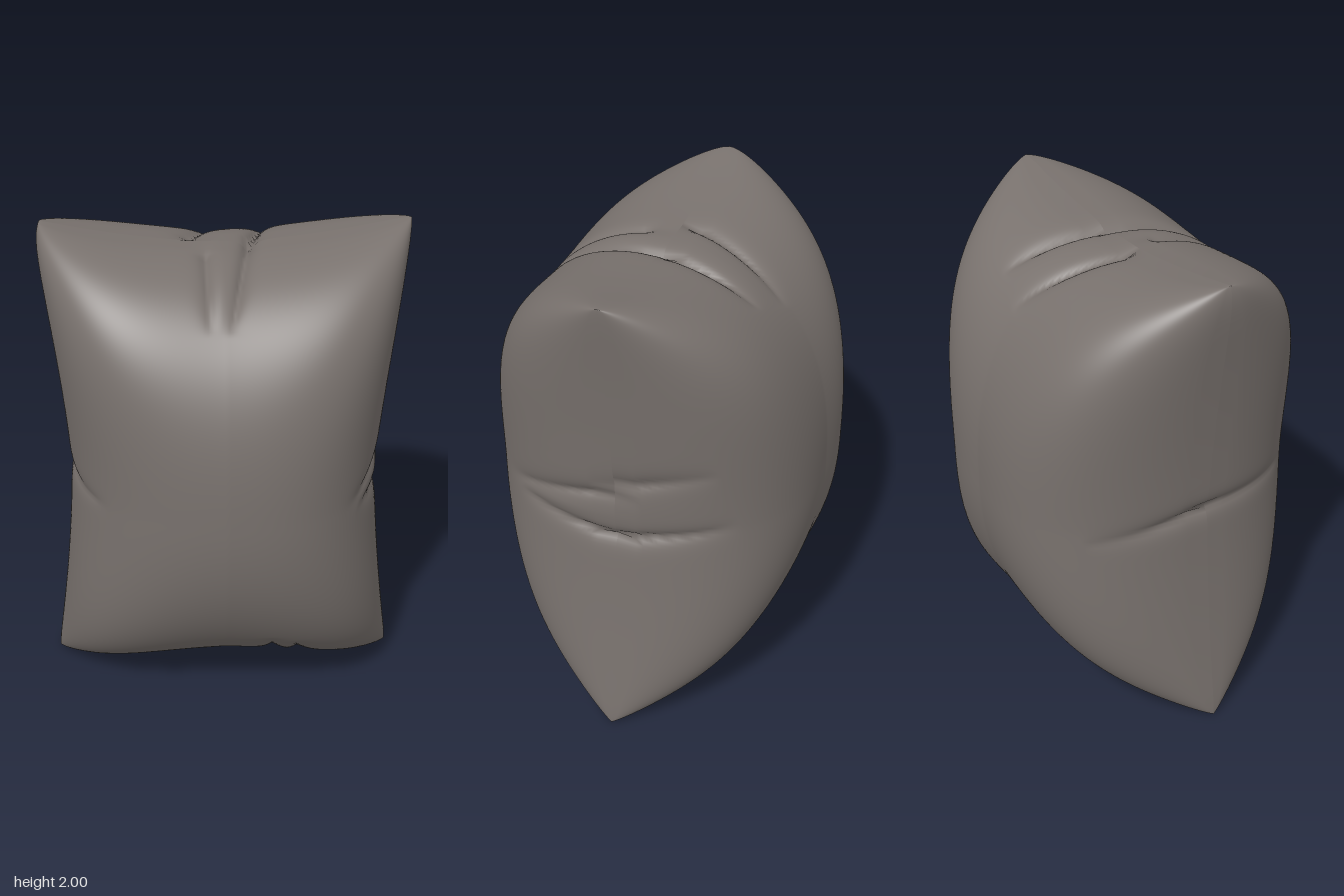
import * as THREE from 'three';

const N = 180;

// Creases: start, end, width, depth
const creases = [
  // top
  [[0.1, 1.9, 0], [0.02, 1.74, 0.48], 0.025, 0.06],
  [[0.1, 1.9, 0], [0.19, 1.8, -0.42], 0.025, 0.06],
  [[-0.07, 1.88, 0.12], [-0.06, 1.74, 0.48], 0.022, 0.035],
  [[-0.13, 1.88, -0.08], [0.02, 1.74, -0.48], 0.03, 0.045],
  // left side
  [[0.63, 0.92, 0], [0.55, 0.98, 0.48], 0.028, 0.04],
  [[0.63, 0.92, 0], [0.55, 1.02, -0.48], 0.028, 0.04],
  [[0.63, 1.13, 0.02], [0.52, 1.01, 0.55], 0.028, 0.035],
  [[0.63, 1.18, -0.02], [0.57, 1.28, -0.4], 0.028, 0.035],
  // right side
  [[-0.63, 1.01, 0], [-0.5, 1.0, 0.5], 0.025, 0.03],
  [[-0.63, 1.01, 0], [-0.52, 0.95, -0.5], 0.025, 0.035],
  // bottom
  [[0, 0.1, 0], [0.02, 0.22, 0.38], 0.025, 0.045],
  [[0, 0.1, 0], [-0.06, 0.3, -0.5], 0.03, 0.045],
  [[0.2, 0.1, 0.08], [0.19, 0.35, 0.5], 0.028, 0.045],
  [[0.33, 0.1, 0.08], [0.28, 0.32, 0.48], 0.028, 0.045],
].map(([a, b, width, depth]) => ({
  line: new THREE.Line3(new THREE.Vector3(...a), new THREE.Vector3(...b)), width, depth,
}));

const falloff = (t, p, q) => Math.pow(Math.max(0, 1 - Math.pow(Math.abs(t), p)), q);

// A point on the inflated cushion; side is +1 for the front panel, -1 for the back
function cushionPoint(u, v, side) {
  // Concave outline with blunt, slightly uneven corners
  const corner = Math.pow(Math.abs(u * v), 16);
  const blunt = 1 - 0.012 * corner;
  const lean = u < 0 && v > 0 ? 0.025 * corner : 0;
  const x = u * (0.63 + 0.11 * Math.pow(Math.abs(v), 1.5)) * blunt + lean;
  const y = 1 + v * (0.91 + 0.1 * Math.pow(Math.abs(u), 1.8)) * blunt;

  // Loft: full towards the corners, and leaning backwards along the right side
  const vertical = v > 0 ? falloff(v, 2.5, 0.44) : falloff(v, 2.2, 0.54);
  const w = u * u * v * v;
  const fullness = 1 + 0.55 * w * (1 - w);
  const skew = 1 + side * 0.1 * Math.min(u, 0) * (1 - v * v);
  const z = side * 0.665 * falloff(u, 2.6, 0.43) * vertical * fullness * skew;
  const p = new THREE.Vector3(x, y, z);

  // Pinch the skin inwards along the nearest crease
  const inward = new THREE.Vector3(-x, 1 - y, -z).normalize();
  const near = new THREE.Vector3();
  let push = 0;
  for (const { line, width, depth } of creases) {
    const t = line.closestPointToPointParameter(p, true);
    line.at(t, near).sub(p);
    if (near.length() > 0.2) continue;
    const d = near.projectOnPlane(inward).length() / width;
    push = Math.max(push, depth * (1 - t * t) * Math.exp(-d));
  }
  return p.addScaledVector(inward, push);
}

function panelGeometry(side) {
  const positions = [], index = [];
  // Grid spacing, finer towards the seam
  const spread = (i) => 0.75 * Math.sin((i / N - 0.5) * Math.PI) + 0.25 * (2 * i / N - 1);
  for (let j = 0; j <= N; j++) {
    for (let i = 0; i <= N; i++) {
      const p = cushionPoint(spread(i), spread(j), side);
      positions.push(p.x, p.y, p.z);
      if (i === N || j === N) continue;
      const a = j * (N + 1) + i, b = a + 1, c = a + N + 1, d = c + 1;
      if (side > 0) index.push(a, b, d, a, d, c);
      else index.push(a, d, b, a, c, d);
    }
  }
  const geometry = new THREE.BufferGeometry();
  geometry.setAttribute('position', new THREE.Float32BufferAttribute(positions, 3));
  geometry.setIndex(index);
  geometry.computeVertexNormals();
  return geometry;
}

export function createModel() {
  const fabric = new THREE.MeshStandardMaterial({ color: 0x78716d });
  fabric.name = 'warm grey fabric';

  const cushion = new THREE.Group();
  cushion.name = 'cushion';
  for (const [name, side] of [['frontPanel', 1], ['backPanel', -1]]) {
    const panel = new THREE.Mesh(panelGeometry(side), fabric);
    panel.name = name;
    cushion.add(panel);
  }
  return cushion;
}
